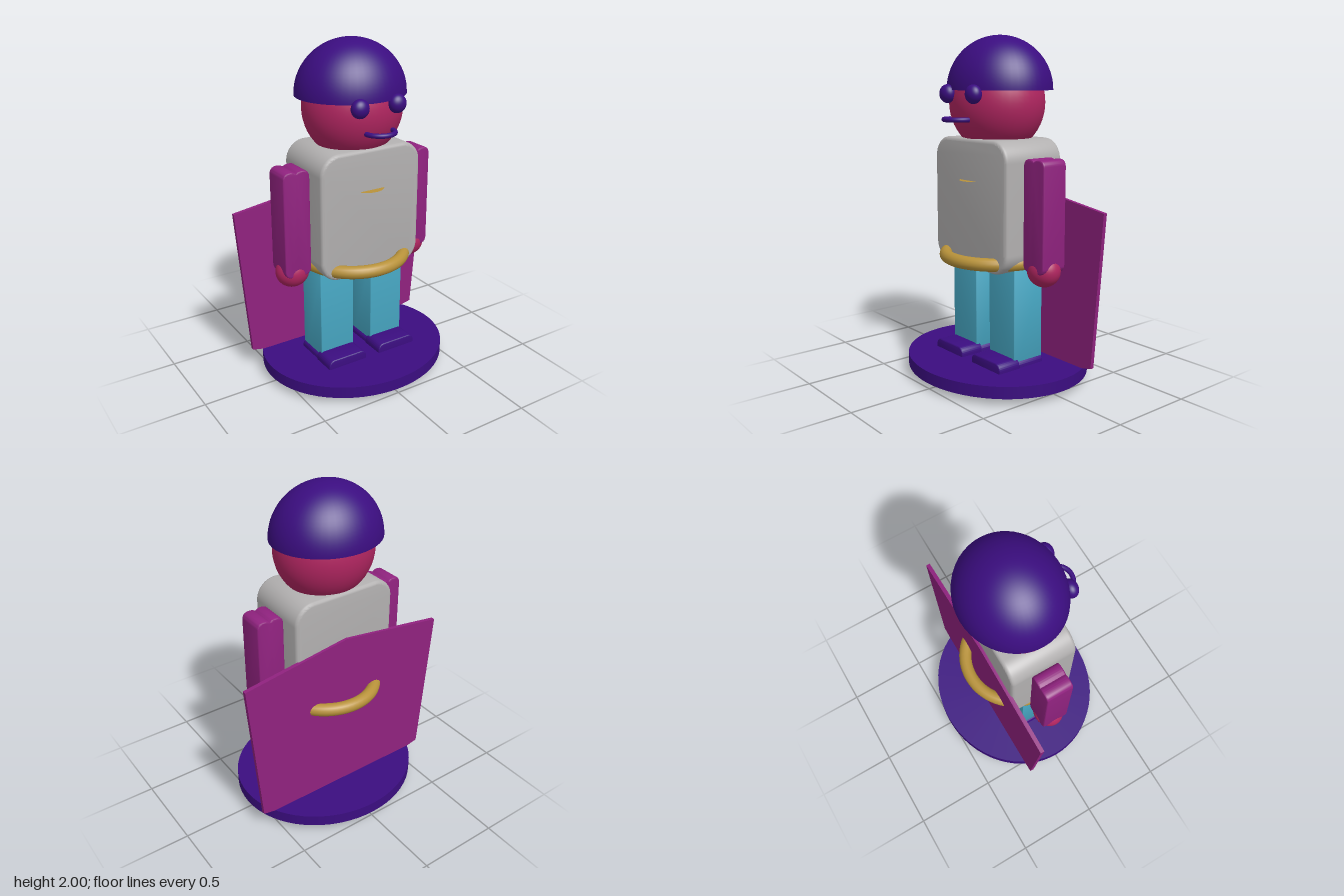
import * as THREE from 'three';
import { toCreasedNormals } from 'three/addons/utils/BufferGeometryUtils.js';

const paint = (name, color) => Object.assign(new THREE.MeshStandardMaterial({ color }), { name });

export function createModel() {
  const model = new THREE.Group();
  const purple = paint('deep purple', 0x3b0d80);
  const skin = paint('raspberry', 0xb02560);
  const grey = paint('light grey', 0xb2b0b0);
  const magenta = paint('magenta', 0x90227f);
  const gold = paint('gold', 0xb8923a);
  const teal = paint('teal', 0x47a7c3);
  purple.side = gold.side = THREE.DoubleSide;

  function add(name, geometry, material, x = 0, y = 0, z = 0) {
    const mesh = new THREE.Mesh(geometry, material);
    mesh.name = name;
    mesh.position.set(x, y, z);
    model.add(mesh);
    return mesh;
  }

  function ball(name, material, x, y, z, rx, ry, rz) {
    add(name, new THREE.SphereGeometry(1, 40, 28), material, x, y, z).scale.set(rx, ry, rz);
  }

  // Upright rounded rectangle centred on the origin
  function roundedRect(w, h, r) {
    const s = new THREE.Shape();
    const a = w / 2 - r, b = h / 2 - r;
    s.absarc(a, b, r, 0, Math.PI / 2);
    s.absarc(-a, b, r, Math.PI / 2, Math.PI);
    s.absarc(-a, -b, r, Math.PI, Math.PI * 1.5);
    s.absarc(a, -b, r, Math.PI * 1.5, Math.PI * 2);
    s.closePath();
    return s;
  }

  // Extrusion centred on z with a soft bevel kept inside the outline
  function slab(shape, depth, bevel) {
    const g = new THREE.ExtrudeGeometry(shape, {
      depth: depth - 2 * bevel, curveSegments: 10, bevelEnabled: bevel > 0,
      bevelSize: bevel, bevelOffset: -bevel, bevelThickness: bevel, bevelSegments: 3,
    });
    g.translate(0, 0, bevel - depth / 2);
    return toCreasedNormals(g, 0.6);
  }

  // Limb outline with a shallow notch in the middle of each end
  function notchedLimb(w, h, r, notch) {
    const a = w / 2, b = h / 2;
    const s = new THREE.Shape();
    s.moveTo(a, -b + r);
    s.lineTo(a, b - r);
    s.quadraticCurveTo(a, b, a - r, b);
    s.quadraticCurveTo(r / 3, b, 0, b - notch);
    s.quadraticCurveTo(-r / 3, b, -a + r, b);
    s.quadraticCurveTo(-a, b, -a, b - r);
    s.lineTo(-a, -b + r);
    s.quadraticCurveTo(-a, -b, -a + r, -b);
    s.quadraticCurveTo(-r / 3, -b, 0, -b + notch);
    s.quadraticCurveTo(r / 3, -b, a - r, -b);
    s.quadraticCurveTo(a, -b, a, -b + r);
    return s;
  }

  // Oval stand
  add('base', new THREE.CylinderGeometry(1, 1, 0.07, 64), purple, 0, 0.08, 0).scale.set(0.575, 1, 0.515);

  // Torso, belt ring and chest badge
  add('torso', slab(roundedRect(0.66, 0.75, 0.12), 0.41, 0.02), grey, 0, 1.045, 0);
  add('belt', new THREE.TorusGeometry(0.303, 0.038, 16, 64), gold, 0, 0.728, 0).rotation.x = Math.PI / 2;
  add('chestBadge', new THREE.CircleGeometry(0.1, 32), gold, 0, 1.18, 0.15).rotation.x = -Math.PI / 2;

  // Head, cap, mouth
  ball('head', skin, 0, 1.62, 0, 0.295, 0.295, 0.265);
  add('cap', new THREE.SphereGeometry(1, 48, 20, 0, Math.PI * 2, 0, Math.PI / 2), purple, 0, 1.69, -0.02)
    .scale.set(0.327, 0.31, 0.293);
  add('mouth', new THREE.TorusGeometry(0.085, 0.014, 12, 32, Math.PI), purple, 0, 1.53, 0.27)
    .rotation.x = Math.PI / 2;

  // Paired parts
  for (const [side, s] of [['left', 1], ['right', -1]]) {
    ball(side + 'Eye', purple, s * 0.12, 1.67, 0.263, 0.053, 0.053, 0.043);
    add(side + 'Arm', slab(notchedLimb(0.165, 0.63, 0.045, 0.012), 0.165, 0.008), magenta, s * 0.4125, 1.01, 0);
    ball(side + 'Hand', skin, s * 0.412, 0.703, 0, 0.1, 0.095, 0.09);
    add(side + 'Leg', slab(roundedRect(0.225, 0.655, 0.006), 0.21, 0.005), teal, s * 0.175, 0.3665, 0.003);
    add(side + 'Toe', slab(roundedRect(0.26, 0.12, 0.04), 0.15, 0.006), purple, s * 0.175, 0.11, 0.155);
    add(side + 'Heel', slab(roundedRect(0.25, 0.105, 0.03), 0.205, 0.004), purple, s * 0.175, 0.1025, 0.003);
  }

  // Flat cape behind the body
  const cape = new THREE.Shape([
    [0, 0.005], [0.595, 0.13], [0.67, 1.035], [0, 1.13], [-0.67, 1.035], [-0.595, 0.13],
  ].map(([x, y]) => new THREE.Vector2(x, y)));
  add('cape', slab(cape, 0.024, 0), magenta, 0, 0, -0.21);

  return model;
}
